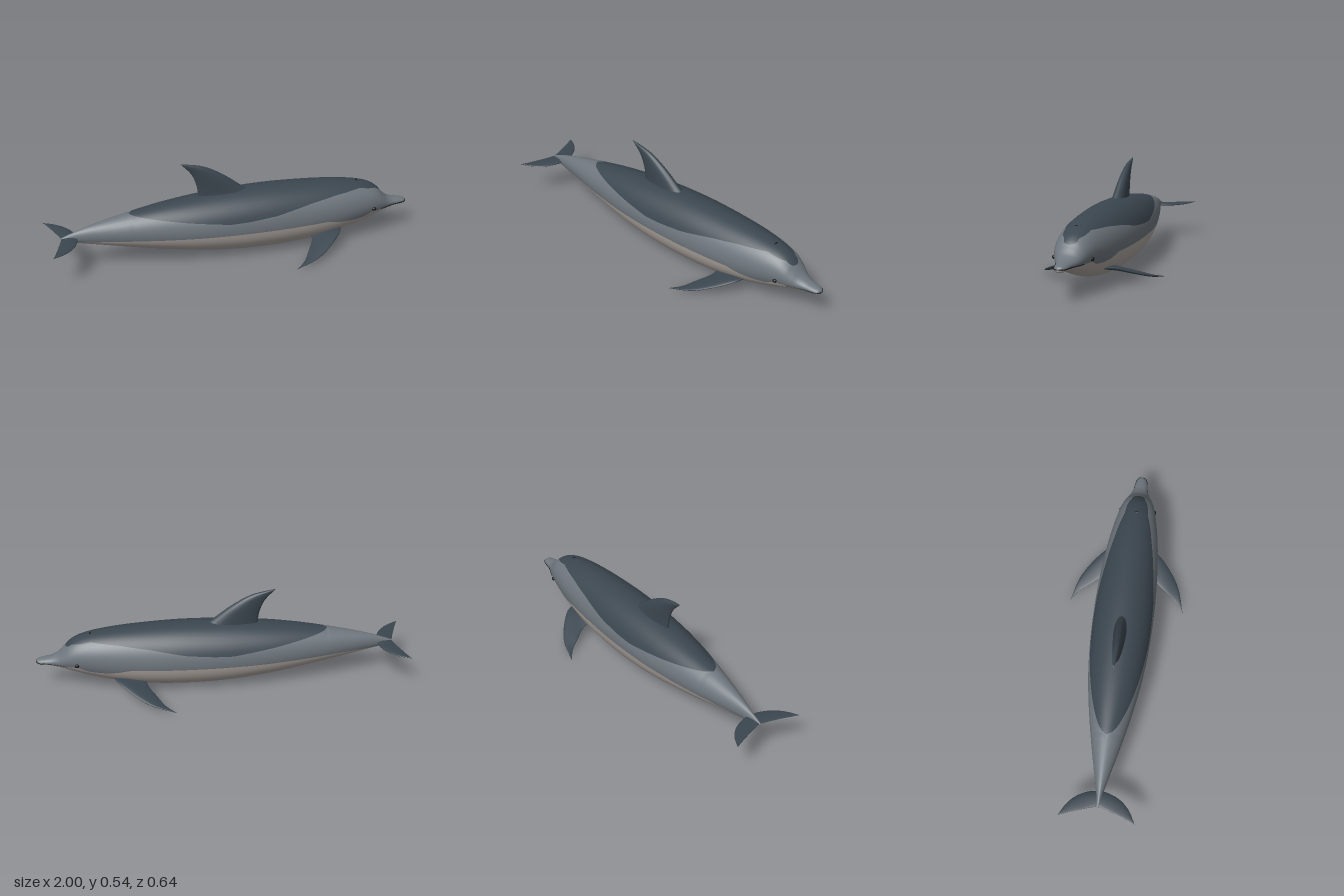
import * as THREE from 'three';
import { mergeVertices } from 'three/addons/utils/BufferGeometryUtils.js';

const mat = (name, color) => Object.assign(new THREE.MeshStandardMaterial({ color }), { name });

// Body stations: x, top y, bottom y, half width
const STATIONS = [
  [-0.94, 0.197, 0.197, 0.0], [-0.92, 0.206, 0.188, 0.008], [-0.87, 0.225, 0.17, 0.016], [-0.8, 0.248, 0.154, 0.032],
  [-0.7, 0.272, 0.134, 0.056], [-0.55, 0.302, 0.104, 0.09], [-0.38, 0.33, 0.072, 0.123],
  [-0.2, 0.35, 0.043, 0.149], [0, 0.364, 0.022, 0.163], [0.2, 0.368, 0.016, 0.165],
  [0.38, 0.362, 0.023, 0.157], [0.53, 0.352, 0.042, 0.143], [0.64, 0.339, 0.065, 0.127],
  [0.72, 0.324, 0.087, 0.111], [0.78, 0.304, 0.106, 0.096], [0.82, 0.278, 0.119, 0.083],
  [0.85, 0.246, 0.13, 0.07], [0.88, 0.216, 0.139, 0.055], [0.915, 0.199, 0.147, 0.041],
  [0.955, 0.191, 0.15, 0.034], [0.985, 0.185, 0.152, 0.026], [0.996, 0.178, 0.158, 0.015], [1.0, 0.169, 0.169, 0],
];
// Lower edges of the grey flank and the dark cape: x, y
const FLANK_EDGE = [[-1, 0.172], [0.5, 0.168], [0.57, 0.15], [0.65, 0.143], [0.72, 0.148], [0.77, 0.168], [0.9, 0.166], [1, 0.169]];
const CAPE_EDGE = [[-1, 0.52], [-0.57, 0.299], [-0.3, 0.264], [-0.05, 0.235], [0.05, 0.238], [0.2, 0.251],
  [0.4, 0.285], [0.55, 0.302], [0.7, 0.308], [0.8, 0.285], [0.84, 0.258], [0.9, 0.3], [1, 0.4]];

const column = (c) => new THREE.SplineCurve(STATIONS.map((s) => new THREE.Vector2(s[0], s[c])));
const [topCurve, bottomCurve, widthCurve] = [1, 2, 3].map(column);

function lookup(table, x) {
  for (let i = 1; i < table.length; i++) {
    if (x <= table[i][0]) {
      const [x0, y0] = table[i - 1], [x1, y1] = table[i];
      return y0 + (y1 - y0) * Math.max(0, (x - x0) / (x1 - x0));
    }
  }
  return table[table.length - 1][1];
}

function sectionAt(t) {
  const a = topCurve.getPoint(t), b = bottomCurve.getPoint(t), w = widthCurve.getPoint(t);
  const cy = (a.y + b.y) / 2, ry = Math.max(0, (a.y - b.y) / 2), rz = Math.max(0, w.y);
  const angleAt = (y) => Math.asin(THREE.MathUtils.clamp((y - cy) / Math.max(ry, 1e-6), -1, 1));
  return { x: a.x, cy, ry, rz, angleAt };
}

// Elliptical loft whose rings are divided exactly at the colour edges
function bodyGeometry() {
  const rows = 176, segs = [10, 9, 9], half = 28, ring = half * 2;
  const pos = [], index = [[], [], []];
  for (let i = 0; i <= rows; i++) {
    const s = sectionAt(i / rows);
    const low = s.angleAt(lookup(FLANK_EDGE, s.x));
    const stops = [-Math.PI / 2, low, Math.max(low, s.angleAt(lookup(CAPE_EDGE, s.x))), Math.PI / 2];
    const angles = [stops[0]];
    segs.forEach((n, b) => {
      for (let k = 1; k <= n; k++) angles.push(stops[b] + (stops[b + 1] - stops[b]) * k / n);
    });
    for (let j = 0; j < ring; j++) {
      const a = j <= half ? angles[j] : Math.PI - angles[ring - j];
      pos.push(s.x, s.cy + s.ry * Math.sin(a), s.rz * Math.cos(a));
    }
  }
  for (let i = 0; i < rows; i++) {
    for (let j = 0; j < ring; j++) {
      const h = j < half ? j : ring - 1 - j;
      const band = h < segs[0] ? 0 : h < segs[0] + segs[1] ? 1 : 2;
      const a = i * ring + j, b = i * ring + (j + 1) % ring;
      index[band].push(a, a + ring, b + ring, a, b + ring, b);
    }
  }
  let geo = new THREE.BufferGeometry();
  geo.setAttribute('position', new THREE.Float32BufferAttribute(pos, 3));
  geo.setIndex(index.flat());
  geo = mergeVertices(geo, 1e-5);
  geo.clearGroups();
  let start = 0;
  index.forEach((list, m) => { geo.addGroup(start, list.length, m); start += list.length; });
  geo.computeVertexNormals();
  return geo;
}

// Foil-section fin between a leading and a trailing edge, thinning to the tip
function finGeometry(lead, trail, normal, thick, tipThick) {
  const curve = (pts) => new THREE.CatmullRomCurve3(pts.map((p) => new THREE.Vector3(...p)));
  const le = curve(lead), te = curve(trail), n = new THREE.Vector3(...normal).normalize();
  const chord = le.getPoint(0).sub(te.getPoint(0)), span = le.getPoint(1).sub(le.getPoint(0));
  if (chord.dot(n.clone().cross(span)) < 0) n.negate();
  const rows = 28, ring = 24, pos = [], index = [];
  for (let i = 0; i <= rows; i++) {
    const t = i / rows, a = le.getPoint(t), b = te.getPoint(t);
    const h = (thick + (tipThick - thick) * t) * Math.sqrt(Math.max(0, 1 - t ** 6));
    for (let j = 0; j < ring; j++) {
      const g = j / ring * Math.PI * 2, c = (1 + Math.cos(g)) / 2;
      const p = b.clone().lerp(a, c).addScaledVector(n, h * Math.sin(g) * (0.55 + 0.45 * c));
      pos.push(p.x, p.y, p.z);
    }
  }
  for (let i = 0; i < rows; i++) {
    for (let j = 0; j < ring; j++) {
      const a = i * ring + j, b = i * ring + (j + 1) % ring;
      index.push(a, b, b + ring, a, b + ring, a + ring);
    }
  }
  let geo = new THREE.BufferGeometry();
  geo.setAttribute('position', new THREE.Float32BufferAttribute(pos, 3));
  geo.setIndex(index);
  geo = mergeVertices(geo, 1e-5);
  geo.computeVertexNormals();
  return geo;
}

export function createModel() {
  const dark = mat('slate', 0x3b464f), grey = mat('flank grey', 0x6e767d);
  const pale = mat('belly pale', 0xada59f), black = mat('near black', 0x15181b);
  const model = new THREE.Group();
  model.name = 'dolphin';
  const add = (name, geo, material) => {
    const mesh = new THREE.Mesh(geo, material);
    mesh.name = name;
    model.add(mesh);
    return mesh;
  };

  add('body', bodyGeometry(), [pale, grey, dark]);

  add('dorsalFin', finGeometry(
    [[0.13, 0.32, 0], [0.06, 0.372, 0], [-0.055, 0.46, 0], [-0.16, 0.518, 0], [-0.285, 0.547, 0]],
    [[-0.19, 0.32, 0], [-0.193, 0.37, 0], [-0.202, 0.42, 0], [-0.228, 0.482, 0], [-0.285, 0.547, 0]],
    [0, 0, 1], 0.05, 0.012), dark);

  for (const side of [1, -1]) {
    const label = side > 0 ? 'left' : 'right';
    const mirror = (pts) => pts.map(([x, y, z]) => [x, y, z * side]);

    // Swept flippers, angled down and back
    add(label + 'Flipper', finGeometry(
      mirror([[0.59, 0.1, 0.085], [0.568, 0.096, 0.14], [0.5, 0.068, 0.212], [0.4, 0.033, 0.28], [0.265, 0.005, 0.32]]),
      mirror([[0.42, 0.085, 0.085], [0.405, 0.066, 0.145], [0.365, 0.045, 0.21], [0.322, 0.022, 0.272], [0.265, 0.005, 0.32]]),
      [0, 0.9, 0.42 * side], 0.017, 0.006), dark);

    // Horizontal tail flukes
    add(label + 'Fluke', finGeometry(
      mirror([[-0.845, 0.193, 0], [-0.856, 0.193, 0.055], [-0.885, 0.194, 0.115], [-0.935, 0.196, 0.165], [-1, 0.199, 0.2]]),
      mirror([[-0.93, 0.197, 0], [-0.945, 0.197, 0.05], [-0.962, 0.198, 0.1], [-0.98, 0.198, 0.15], [-1, 0.199, 0.2]]),
      [0, 1, 0], 0.012, 0.004), dark);

    const eye = add(label + 'Eye', new THREE.SphereGeometry(0.012, 20, 14), black);
    eye.position.set(0.78, 0.184, 0.097 * side);
    eye.scale.set(1, 0.85, 0.7);

    // Mouth line lying on the beak
    const path = [];
    for (let k = 0; k <= 16; k++) {
      const s = sectionAt(0.7 + 0.29 * k / 16);
      if (s.x < 0.79) continue;
      const a = s.angleAt(lookup(FLANK_EDGE, s.x));
      path.push(new THREE.Vector3(s.x, s.cy + s.ry * Math.sin(a), side * s.rz * Math.cos(a)));
    }
    add(label + 'MouthLine', new THREE.TubeGeometry(new THREE.CatmullRomCurve3(path), 40, 0.0028, 6), black);
  }

  // Blowhole slit on top of the head
  const blowhole = add('blowhole', new THREE.SphereGeometry(1, 16, 10), black);
  blowhole.position.set(0.705, 0.327, 0);
  blowhole.scale.set(0.004, 0.003, 0.015);

  return model;
}
